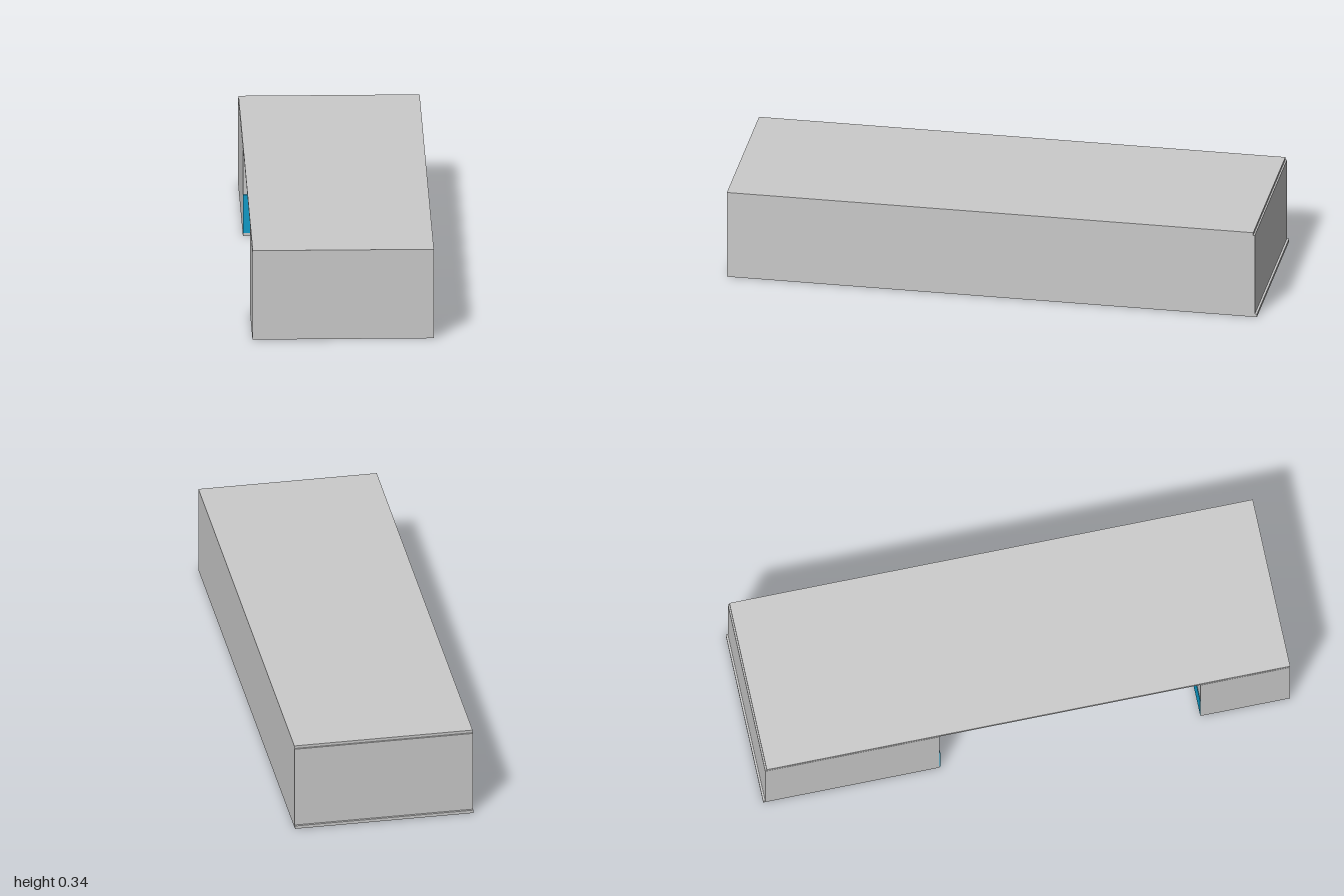
import * as THREE from 'three';

const grey = new THREE.MeshStandardMaterial({ color: 0xcccccc });
const blue = new THREE.MeshStandardMaterial({ color: 0x0d9ecc });

const SIDE = 0.337, FRONT = 1;                       // outer faces
const INNER = -0.011, Z0 = -0.33, Z1 = 0.66;         // courtyard: back wall and two ends
const BASE = 0.012, EAVES = 0.334, TOP = 0.345;      // heights

// Box given by its extents on each axis
function block(name, material, [x0, x1], [y0, y1], [z0, z1]) {
  const mesh = new THREE.Mesh(new THREE.BoxGeometry(x1 - x0, y1 - y0, z1 - z0), material);
  mesh.position.set((x0 + x1) / 2, (y0 + y1) / 2, (z0 + z1) / 2);
  mesh.name = name;
  return mesh;
}

// U-shaped plan, open towards -x, raised from y0 to y1
function uPlan(name, back, y0, y1) {
  const plan = [
    [-SIDE, FRONT], [SIDE, FRONT], [SIDE, back], [-SIDE, back],
    [-SIDE, Z0], [INNER, Z0], [INNER, Z1], [-SIDE, Z1],
  ];
  const shape = new THREE.Shape(plan.map(([x, z]) => new THREE.Vector2(x, -z)));
  const geometry = new THREE.ExtrudeGeometry(shape, { depth: y1 - y0, bevelEnabled: false });
  geometry.rotateX(-Math.PI / 2).translate(0, y0, 0);
  const mesh = new THREE.Mesh(geometry, grey);
  mesh.name = name;
  return mesh;
}

export function createModel() {
  const model = new THREE.Group();
  model.name = 'building';

  // Floor slab, walls and the roof that also covers the courtyard
  model.add(uPlan('floorSlab', -1, 0, BASE));
  model.add(uPlan('walls', -0.992, BASE, EAVES));
  model.add(block('roof', grey, [-SIDE + 0.001, SIDE], [EAVES, TOP], [-0.986, FRONT]));

  // Glazing on the three courtyard walls
  const glazing = new THREE.Group();
  glazing.name = 'glazing';
  const t = 0.002, height = [BASE, 0.16], across = [-SIDE, INNER];
  glazing.add(block('wingGlazing', blue, across, height, [Z1 - t, Z1]));
  glazing.add(block('wingGlazing', blue, across, height, [Z0, Z0 + t]));
  for (const span of [[Z0, 0.42], [0.515, Z1]]) {
    glazing.add(block('backGlazing', blue, [INNER - t, INNER], height, span));
  }
  model.add(glazing);

  // Door between the two back panes
  model.add(block('door', grey, [INNER - t, INNER], height, [0.42, 0.515]));
  return model;
}
